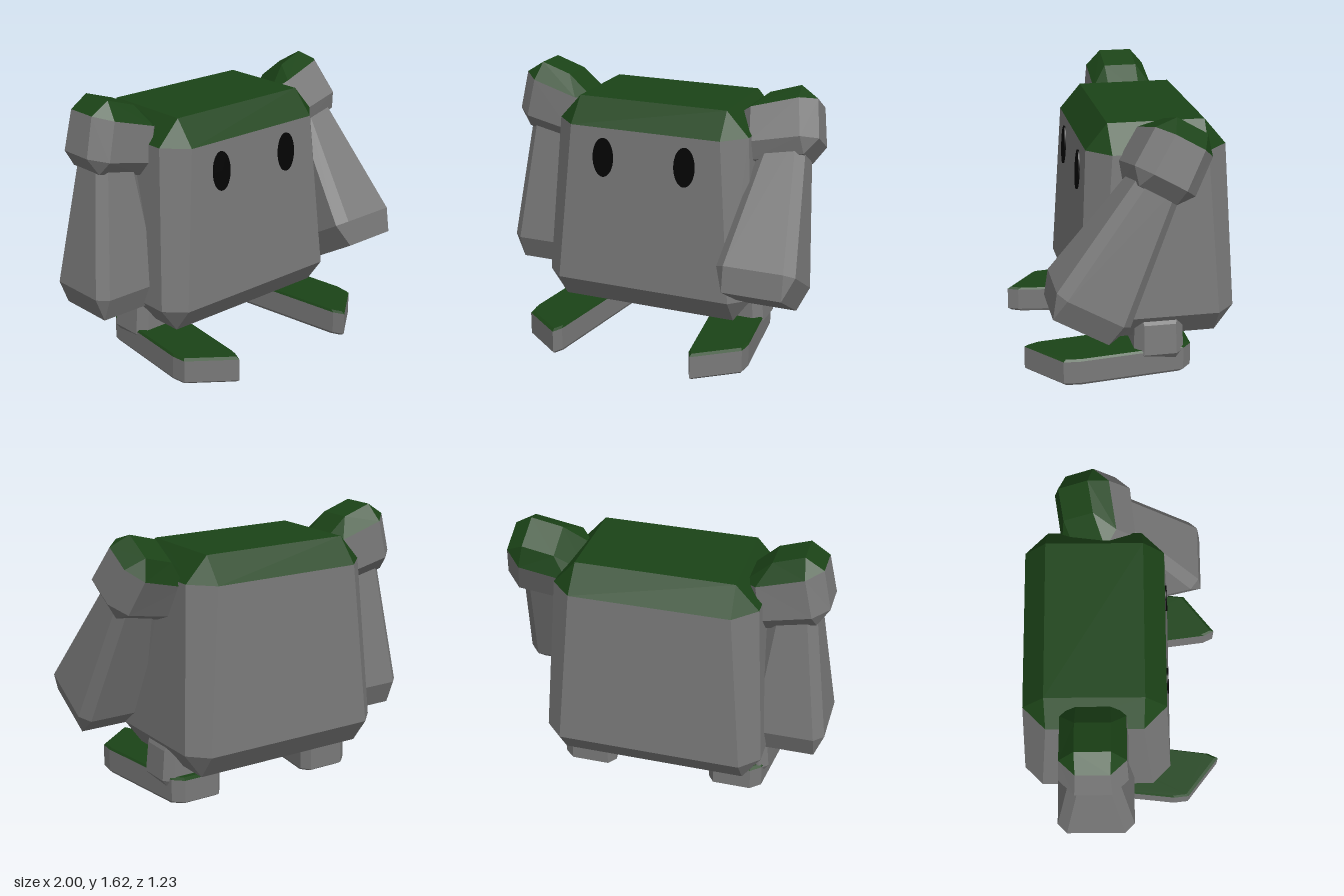
import * as THREE from 'three';

const GREY = new THREE.MeshStandardMaterial({ color: 0x797979, flatShading: true });
const GREEN = new THREE.MeshStandardMaterial({ color: 0x1b4317, flatShading: true });
const BLACK = new THREE.MeshStandardMaterial({ color: 0x040404 });

// Ring with cut corners; it may slope from (x0, y0) to (x1, y1). c = 0 gives a rectangle.
function ring(x0, y0, x1, y1, hz, c = 0, zc = 0) {
  const at = (x, z) => new THREE.Vector3(x, y0 + (y1 - y0) * (x - x0) / (x1 - x0), zc + z);
  return [
    at(x1, hz - c), at(x1, c - hz), at(x1 - c, -hz), at(x0 + c, -hz),
    at(x0, c - hz), at(x0, hz - c), at(x0 + c, hz), at(x1 - c, hz),
  ];
}

// Skin a stack of rings from bottom to top; side = -1 mirrors in x
function loft(name, rings, material, side = 1, capBottom = true, capTop = true) {
  const pos = [];
  const tri = (a, b, c) => {
    if (a.distanceTo(b) < 1e-6 || b.distanceTo(c) < 1e-6 || a.distanceTo(c) < 1e-6) return;
    for (const p of side > 0 ? [a, b, c] : [a, c, b]) pos.push(p.x * side, p.y, p.z);
  };
  const n = rings[0].length;
  for (let r = 0; r < rings.length - 1; r++) {
    const lo = rings[r], hi = rings[r + 1];
    for (let i = 0; i < n; i++) {
      const j = (i + 1) % n;
      tri(lo[i], lo[j], hi[j]);
      tri(lo[i], hi[j], hi[i]);
    }
  }
  const first = rings[0], last = rings[rings.length - 1];
  for (let i = 1; i < n - 1; i++) {
    if (capBottom) tri(first[0], first[i + 1], first[i]);
    if (capTop) tri(last[0], last[i], last[i + 1]);
  }
  const geo = new THREE.BufferGeometry();
  geo.setAttribute('position', new THREE.Float32BufferAttribute(pos, 3));
  geo.computeVertexNormals();
  const mesh = new THREE.Mesh(geo, material);
  mesh.name = name;
  return mesh;
}

// Shoulder block and hanging arm, relative to the shoulder pivot
function makeArm(side) {
  const g = new THREE.Group();
  const py = 1.37;
  const r = (x0, y0, x1, y1, hz, c) => ring(x0, y0 - py, x1, y1 - py, hz, c);
  const square = (y, h, c) => r(0.765 - h, y, 0.765 + h, y, h, c);
  g.add(loft('arm', [
    square(0.345, 0.178, 0), square(0.49, 0.235, 0.057), square(1.3, 0.125, 0.05),
  ], GREY, side));
  const rim = r(0.465, 1.412, 0.92, 1.55, 0.185, 0.09);
  g.add(loft('shoulder', [
    r(0.58, 1.135, 0.9, 1.21, 0.12), r(0.5, 1.21, 0.97, 1.315, 0.195, 0.09), rim,
  ], GREY, side, true, false));
  g.add(loft('shoulderTop', [rim, r(0.63, 1.56, 0.81, 1.62, 0.1)], GREEN, side, false));
  return g;
}

// Short leg and a long foot turned outward
function makeLeg(side) {
  const g = new THREE.Group();
  const level = (x0, x1, y, hz, c) => ring(x0, y, x1, y, hz, c, -0.155);
  g.add(loft('leg', [
    level(0.43, 0.58, 0.02, 0.1, 0), level(0.36, 0.662, 0.135, 0.147, 0.05),
    level(0.375, 0.645, 0.315, 0.143, 0.05), level(0.41, 0.62, 0.37, 0.11, 0),
  ], GREY, side));
  const outline = [
    [0.69, 0.42], [0.7, 0.33], [0.63, -0.3], [0.57, -0.355],
    [0.34, -0.355], [0.3, -0.3], [0.41, 0.55], [0.44, 0.615],
  ];
  const sole = (y, k) => outline.map(([x, z]) =>
    new THREE.Vector3(0.49 + (x - 0.49) * k, y, 0.13 + (z - 0.13) * k));
  g.add(loft('foot', [sole(0, 0.95), sole(0.015, 1), sole(0.15, 1)], GREY, side, true, false));
  g.add(loft('footTop', [sole(0.15, 1), sole(0.162, 0.95)], GREEN, side, false));
  return g;
}

export function createModel() {
  const model = new THREE.Group();
  model.name = 'creature';

  // Tapered block body with a coloured cap
  const level = (y, hx, hz, c) => ring(-hx, y, hx, y, hz, c, -0.157);
  const rim = level(1.34, 0.6, 0.405, 0.13);
  model.add(loft('body', [level(0.22, 0.55, 0.345, 0), level(0.37, 0.66, 0.455, 0.11), rim],
    GREY, 1, true, false));
  model.add(loft('bodyTop', [rim, level(1.49, 0.465, 0.28, 0)], GREEN, 1, false));

  for (const side of [1, -1]) {
    const label = side > 0 ? 'left' : 'right';

    // The left arm swings forward, the right one hangs down
    const arm = makeArm(side);
    arm.name = label + 'Arm';
    arm.position.set(0, 1.37, -0.165);
    if (side > 0) {
      arm.position.set(0, 1.335, -0.155);
      arm.rotation.x = -Math.PI / 6;
    }
    model.add(arm);

    const leg = makeLeg(side);
    leg.name = label + 'Leg';
    model.add(leg);

    // Flat oval eye lying on the sloping front
    const eye = new THREE.Mesh(
      new THREE.CylinderGeometry(1, 1, 1, 32).rotateX(Math.PI / 2).scale(0.065, 0.118, 0.012), BLACK);
    eye.name = label + 'Eye';
    eye.position.set(side * 0.258, 1.163, 0.26);
    eye.rotation.x = -0.052;
    model.add(eye);
  }
  return model;
}
